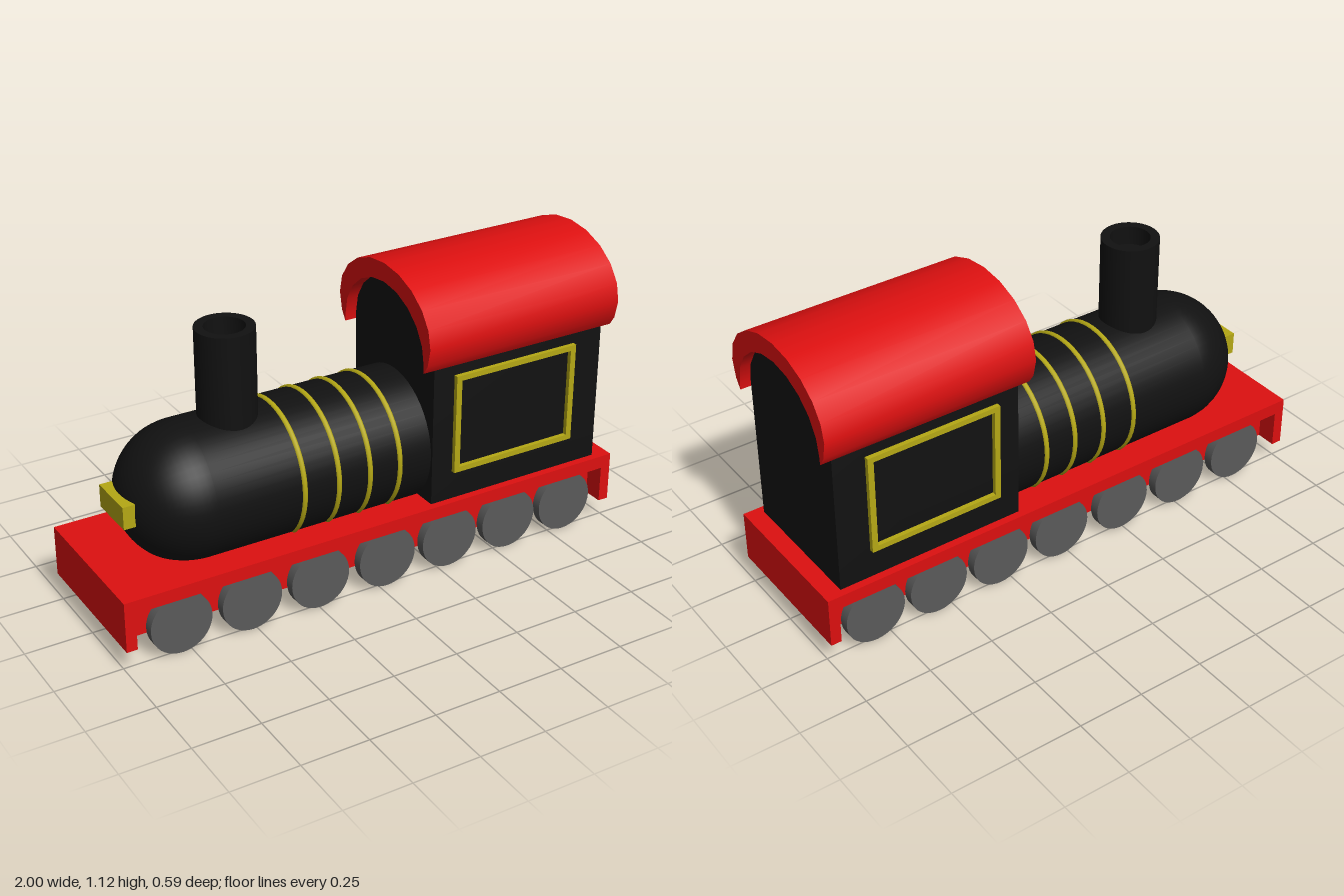
import * as THREE from 'three';
import { toCreasedNormals } from 'three/addons/utils/BufferGeometryUtils.js';

const paint = (color) => new THREE.MeshStandardMaterial({ color });

export function createModel() {
  const model = new THREE.Group();
  const red = paint(0xdd1010), black = paint(0x111111);
  const brass = paint(0xb5a815), grey = paint(0x5a5a5a);

  function add(name, geometry, material, x = 0, y = 0, z = 0) {
    const mesh = new THREE.Mesh(geometry, material);
    mesh.name = name;
    mesh.position.set(x, y, z);
    model.add(mesh);
    return mesh;
  }
  function box(name, material, x0, x1, y0, y1, z0, z1) {
    return add(name, new THREE.BoxGeometry(x1 - x0, y1 - y0, z1 - z0), material,
      (x0 + x1) / 2, (y0 + y1) / 2, (z0 + z1) / 2);
  }
  // Extrudes a (z, y) outline along x
  function extrudeAlongX(name, points, x0, x1, material) {
    const shape = new THREE.Shape(points);
    const geometry = new THREE.ExtrudeGeometry(shape, { depth: x1 - x0, bevelEnabled: false });
    geometry.rotateY(Math.PI / 2);
    return add(name, toCreasedNormals(geometry, 0.5), material, x0, 0, 0);
  }
  // Elliptical arc in 18 degree steps, measured from the top
  function arc(rx, ry, cy, steps) {
    const points = [];
    for (let i = -steps; i <= steps; i++) {
      const a = i * Math.PI / 10;
      points.push(new THREE.Vector2(rx * Math.sin(a), cy + ry * Math.cos(a)));
    }
    return points;
  }

  // Chassis: deck, narrower core and full-width end plates
  box('deck', red, -1, 1, 0.225, 0.275, -0.287, 0.287);
  box('chassisCore', red, -0.96, 0.96, 0.085, 0.225, -0.212, 0.212);
  for (const s of [-1, 1]) {
    box('endPlate', red, Math.min(s, s * 0.96), Math.max(s, s * 0.96), 0.085, 0.225, -0.287, 0.287);
  }

  // Wheels
  const wheel = new THREE.CylinderGeometry(0.115, 0.115, 0.037, 40).rotateX(Math.PI / 2);
  const axle = new THREE.CylinderGeometry(0.03, 0.03, 0.04, 16).rotateX(Math.PI / 2);
  for (const x of [-0.785, -0.515, -0.245, 0.03, 0.295, 0.555, 0.81]) {
    for (const s of [-1, 1]) {
      add('wheel', wheel, grey, x, 0.115, s * 0.246);
      add('axle', axle, grey, x, 0.115, s * 0.215);
    }
  }

  // Boiler with a hemispherical nose, lathed around the x axis
  const profile = [];
  for (let i = 0; i <= 16; i++) {
    const a = (i / 16) * Math.PI / 2;
    profile.push(new THREE.Vector2(0.25 * Math.sin(a), -0.625 - 0.25 * Math.cos(a)));
  }
  profile.push(new THREE.Vector2(0.25, 0.23));
  const boiler = new THREE.LatheGeometry(profile, 48).rotateZ(-Math.PI / 2);
  add('boiler', boiler, black, 0, 0.46, 0);

  // Brass boiler bands
  const band = new THREE.TorusGeometry(0.246, 0.011, 10, 48).rotateY(Math.PI / 2);
  for (const x of [-0.295, -0.16, -0.035, 0.087]) add('boilerBand', band, brass, x, 0.46, 0);

  // Nose lamp
  box('lamp', brass, -0.9, -0.855, 0.425, 0.51, -0.093, 0.093);

  // Hollow chimney
  const flue = [[0.105, 0.62], [0.105, 1.03], [0.072, 1.03], [0.072, 0.96], [0, 0.96]]
    .map(([r, y]) => new THREE.Vector2(r, y));
  add('chimney', toCreasedNormals(new THREE.LatheGeometry(flue, 40), 0.5), black, -0.455, 0, 0);

  // Cab with an arched top
  const cab = [new THREE.Vector2(-0.258, 0.275), ...arc(0.258, 0.22, 0.83, 5),
    new THREE.Vector2(0.258, 0.275)];
  extrudeAlongX('cab', cab, 0.215, 0.935, black);

  // Curved roof: thick at the crown, tapering to the eaves
  const outer = [new THREE.Vector2(-0.259, 0.803), ...arc(0.297, 0.215, 0.905, 6),
    new THREE.Vector2(0.259, 0.803)];
  const inner = arc(0.258, 0.22, 0.83, 5).reverse();
  extrudeAlongX('roof', [...outer, ...inner], 0.17, 0.975, red);

  // Brass window frames on both sides
  const frame = new THREE.Shape([[-0.257, -0.19], [0.257, -0.19], [0.257, 0.19], [-0.257, 0.19]]
    .map(([x, y]) => new THREE.Vector2(x, y)));
  frame.holes.push(new THREE.Path([[-0.235, -0.17], [-0.235, 0.17], [0.235, 0.17], [0.235, -0.17]]
    .map(([x, y]) => new THREE.Vector2(x, y))));
  const frameGeometry = new THREE.ExtrudeGeometry(frame, { depth: 0.036, bevelEnabled: false })
    .translate(0, 0, -0.018);
  for (const s of [-1, 1]) add('windowFrame', frameGeometry, brass, 0.557, 0.575, s * 0.257);

  return model;
}
